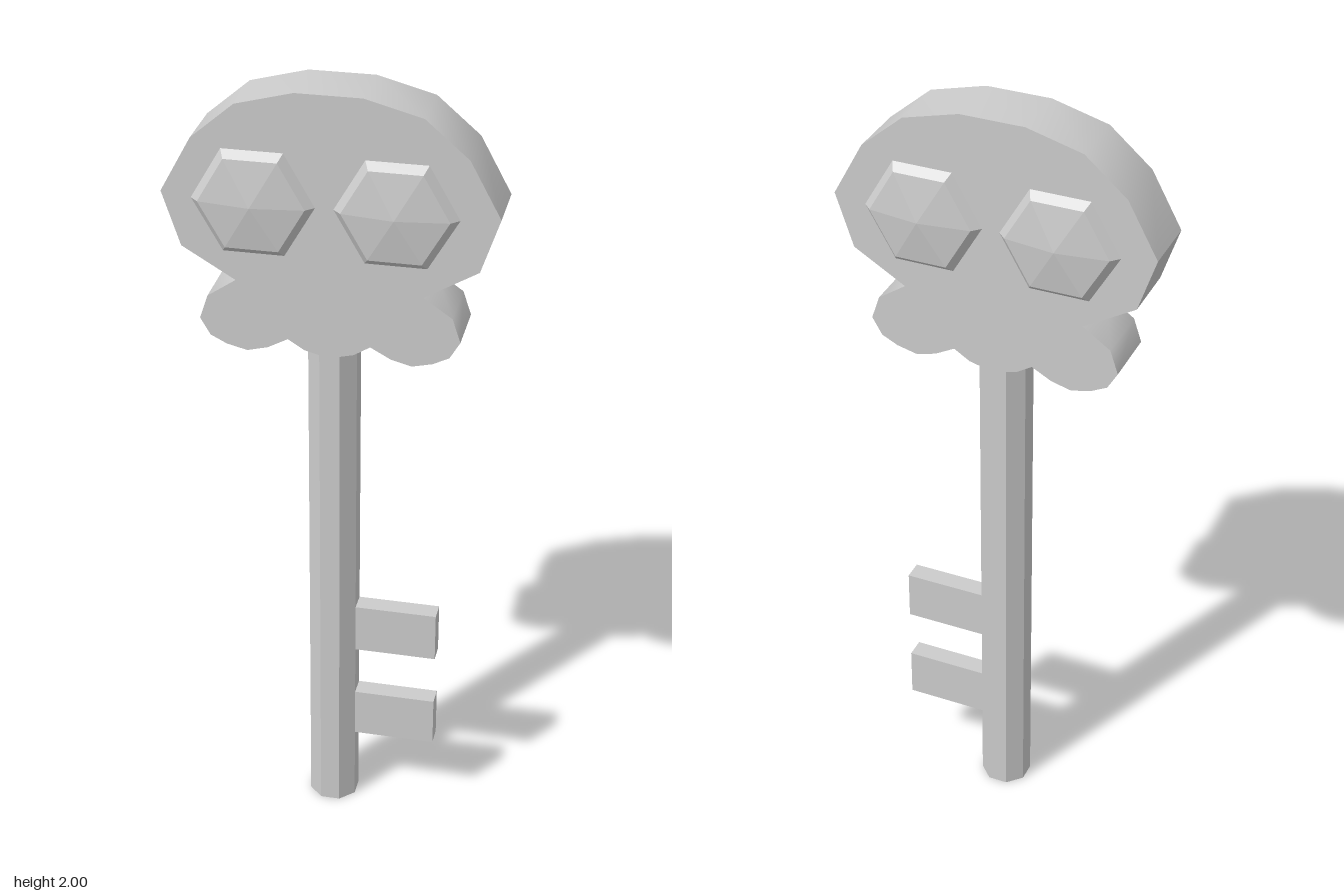
import * as THREE from 'three';
import { toCreasedNormals } from 'three/addons/utils/BufferGeometryUtils.js';

export function createModel() {
  const model = new THREE.Group();
  const smooth = new THREE.MeshStandardMaterial({ color: 0xcccccc });
  const flat = new THREE.MeshStandardMaterial({ color: 0xcccccc, flatShading: true });

  const add = (name, geometry, material, x = 0, y = 0, z = 0) => {
    const mesh = new THREE.Mesh(geometry, material);
    mesh.name = name;
    mesh.position.set(x, y, z);
    model.add(mesh);
    return mesh;
  };

  // Skull-shaped bow: half outline from crown to chin, mirrored and extruded
  const half = [
    [0.08, 2.0], [0.22, 1.963], [0.325, 1.873], [0.4, 1.735], [0.355, 1.6],
    [0.225, 1.523], [0.295, 1.475], [0.315, 1.415], [0.29, 1.372], [0.25, 1.352],
    [0.2, 1.34], [0.15, 1.353], [0.1, 1.38], [0.06, 1.355],
  ];
  const outline = [
    ...half, [0, 1.34],
    ...half.slice().reverse().map(([x, y]) => [-x, y]),
  ].map(([x, y]) => new THREE.Vector2(x, y));
  const depth = 0.153;
  const bow = new THREE.ExtrudeGeometry(new THREE.Shape(outline), { depth, bevelEnabled: false });
  add('skullBow', toCreasedNormals(bow, 0.7), smooth, 0, 0, -0.078);

  // Hexagonal gem eyes on both faces
  const profile = [[0.127, 0.07], [0.127, 0.077], [0.147, 0.098], [0.127, 0.118], [0, 0.135]]
    .map(([r, y]) => new THREE.Vector2(r, y));
  const gem = new THREE.LatheGeometry(profile, 6, Math.PI / 2).rotateX(Math.PI / 2);
  for (const [side, x] of [['left', 0.163], ['right', -0.174]]) {
    add(`${side}EyeFront`, gem, flat, x, 1.735, -0.001);
    add(`${side}EyeBack`, gem, flat, x, 1.735, -0.001).rotation.y = Math.PI;
  }

  // Octagonal shaft with flats facing the axes
  const radius = 0.06 / Math.cos(Math.PI / 8);
  const shaft = new THREE.CylinderGeometry(radius, radius, 1.4, 8).rotateY(Math.PI / 8);
  add('shaft', shaft, flat, -0.002, 0.7, 0);

  // Two teeth
  for (const [name, y] of [['lowerTooth', 0.269], ['upperTooth', 0.536]]) {
    add(name, new THREE.BoxGeometry(0.225, 0.131, 0.05), flat, 0.154, y, 0);
  }
  return model;
}
